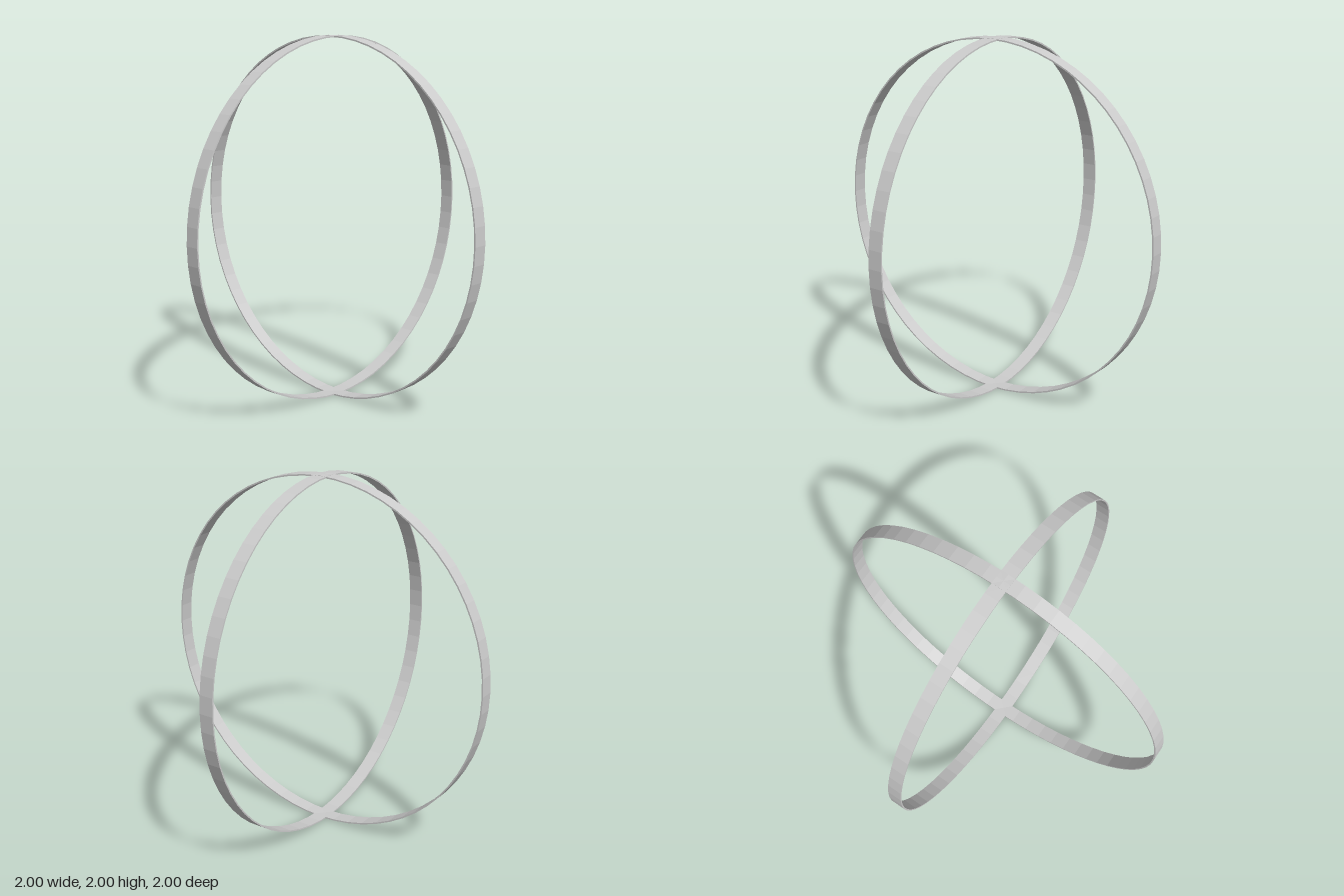
import * as THREE from 'three';

const RADIUS = 1, THICKNESS = 0.008, WIDTH = 0.08, SEGMENTS = 64;

// Flat band with a thin rectangular section, revolved around the y axis
function bandGeometry() {
  const inner = RADIUS - THICKNESS, h = WIDTH / 2;
  const section = [[inner, -h], [RADIUS, -h], [RADIUS, h], [inner, h], [inner, -h]]
    .map(([r, y]) => new THREE.Vector2(r, y));
  return new THREE.LatheGeometry(section, SEGMENTS);
}

export function createModel() {
  const model = new THREE.Group();
  model.name = 'crossedRings';
  const material = new THREE.MeshStandardMaterial({ color: 0xcccccc, flatShading: true });

  const addRing = (name, geometry) => {
    const ring = new THREE.Mesh(geometry, material);
    ring.name = name;
    ring.position.y = RADIUS;
    model.add(ring);
  };

  // Two upright rings crossing at the top and bottom
  addRing('frontFacingRing', bandGeometry().rotateX(Math.PI / 2));
  addRing('sideFacingRing', bandGeometry().rotateZ(Math.PI / 2));

  return model;
}
